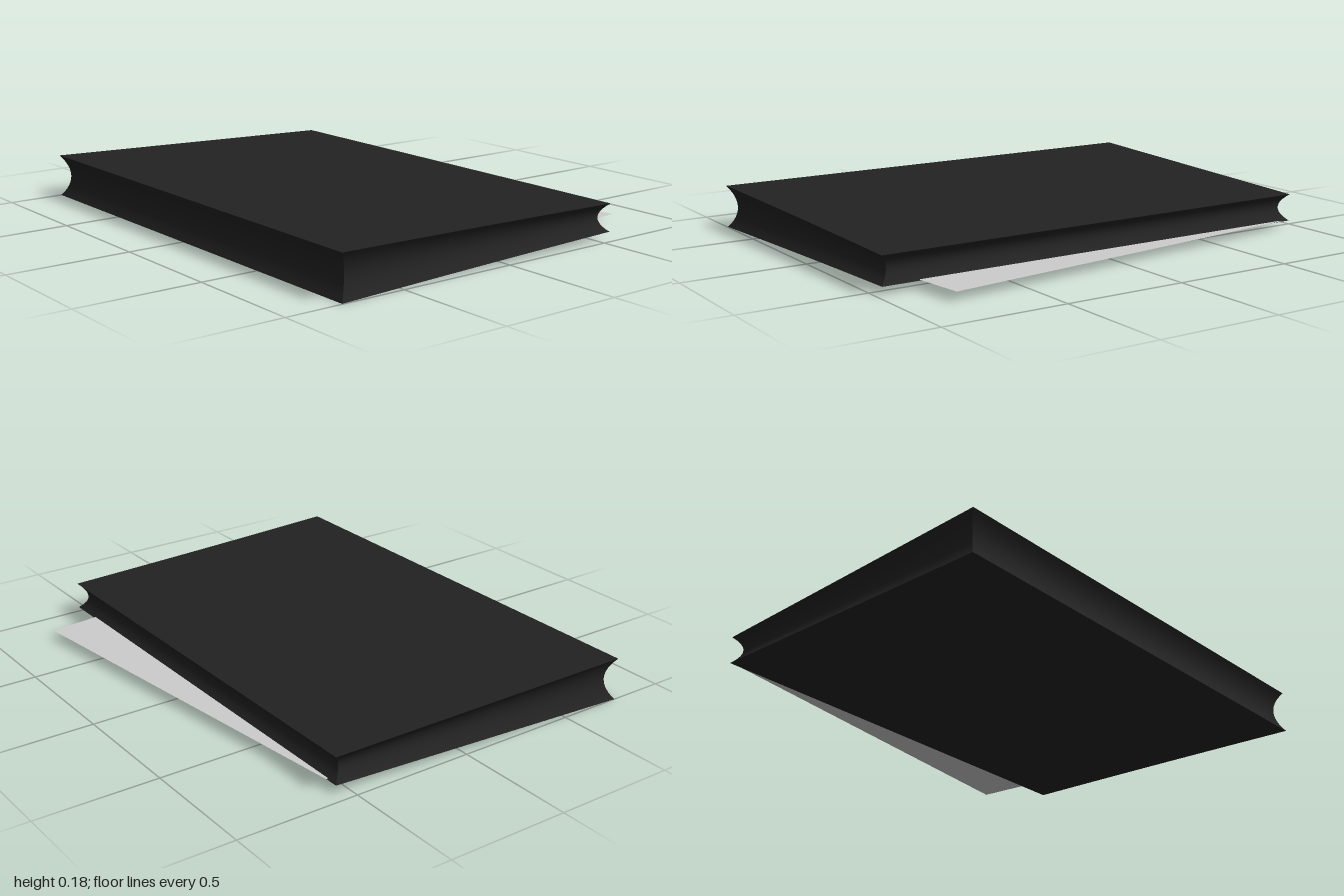
import * as THREE from 'three';

const lerp = THREE.MathUtils.lerp;

// Smooth surface from a rule f(u, v) -> [x, y, z], facing along du x dv
function surface(f, nu, nv) {
  const pos = [], index = [];
  for (let j = 0; j <= nv; j++) {
    for (let i = 0; i <= nu; i++) pos.push(...f(i / nu, j / nv));
  }
  for (let j = 0; j < nv; j++) {
    for (let i = 0; i < nu; i++) {
      const a = j * (nu + 1) + i, b = a + 1, c = a + nu + 1, d = c + 1;
      index.push(a, b, d, a, d, c);
    }
  }
  const g = new THREE.BufferGeometry();
  g.setAttribute('position', new THREE.Float32BufferAttribute(pos, 3));
  g.setIndex(index);
  g.computeVertexNormals();
  return g;
}

// Point of the wedge: a runs left edge to right edge, b back to front, t bottom to top.
// The outline is drawn in at mid height, which makes the walls concave.
function wedge(a, b, t) {
  const d = 0.034 * 4 * t * (1 - t);
  const x = lerp(-0.766 + d, 0.555 - d, a);
  const back = lerp(-1, -0.948, a) + d;
  const front = 0.997 - 0.04 * a + 0.018 * a * a - d;
  const y = lerp(lerp(0.002, 0.033, a), lerp(0.178, 0.145, a), t);
  return [x, y, lerp(back, front, b)];
}

export function createModel() {
  const model = new THREE.Group();
  const black = new THREE.MeshStandardMaterial({ color: 0x222222, side: THREE.DoubleSide });
  black.name = 'black cover';
  const grey = new THREE.MeshStandardMaterial({ color: 0xcccccc, side: THREE.DoubleSide });
  grey.name = 'pale grey sheet';

  const add = (name, geometry, material) => {
    const mesh = new THREE.Mesh(geometry, material);
    mesh.name = name;
    model.add(mesh);
    return mesh;
  };

  // Flat covers
  add('topCover', surface((u, v) => wedge(u, 1 - v, 1), 8, 1), black);
  add('bottomCover', surface((u, v) => wedge(u, v, 0), 8, 1), black);

  // Concave walls, mitred at the corners
  add('frontWall', surface((u, v) => wedge(u, 1, v), 8, 12), black);
  add('backWall', surface((u, v) => wedge(1 - u, 0, v), 8, 12), black);
  add('leftWall', surface((u, v) => wedge(1, 1 - u, v), 1, 12), black);
  add('rightWall', surface((u, v) => wedge(0, u, v), 1, 12), black);

  // Loose sheet slipping out at an angle, pinned at its outer front corner
  const sheet = new THREE.PlaneGeometry(1.15, 1.71);
  sheet.rotateX(-Math.PI / 2);
  sheet.translate(-0.575, 0, -0.855);
  const page = add('looseSheet', sheet, grey);
  page.rotation.y = 0.12;
  page.position.set(0.765, 0.037, 0.8);

  return model;
}
